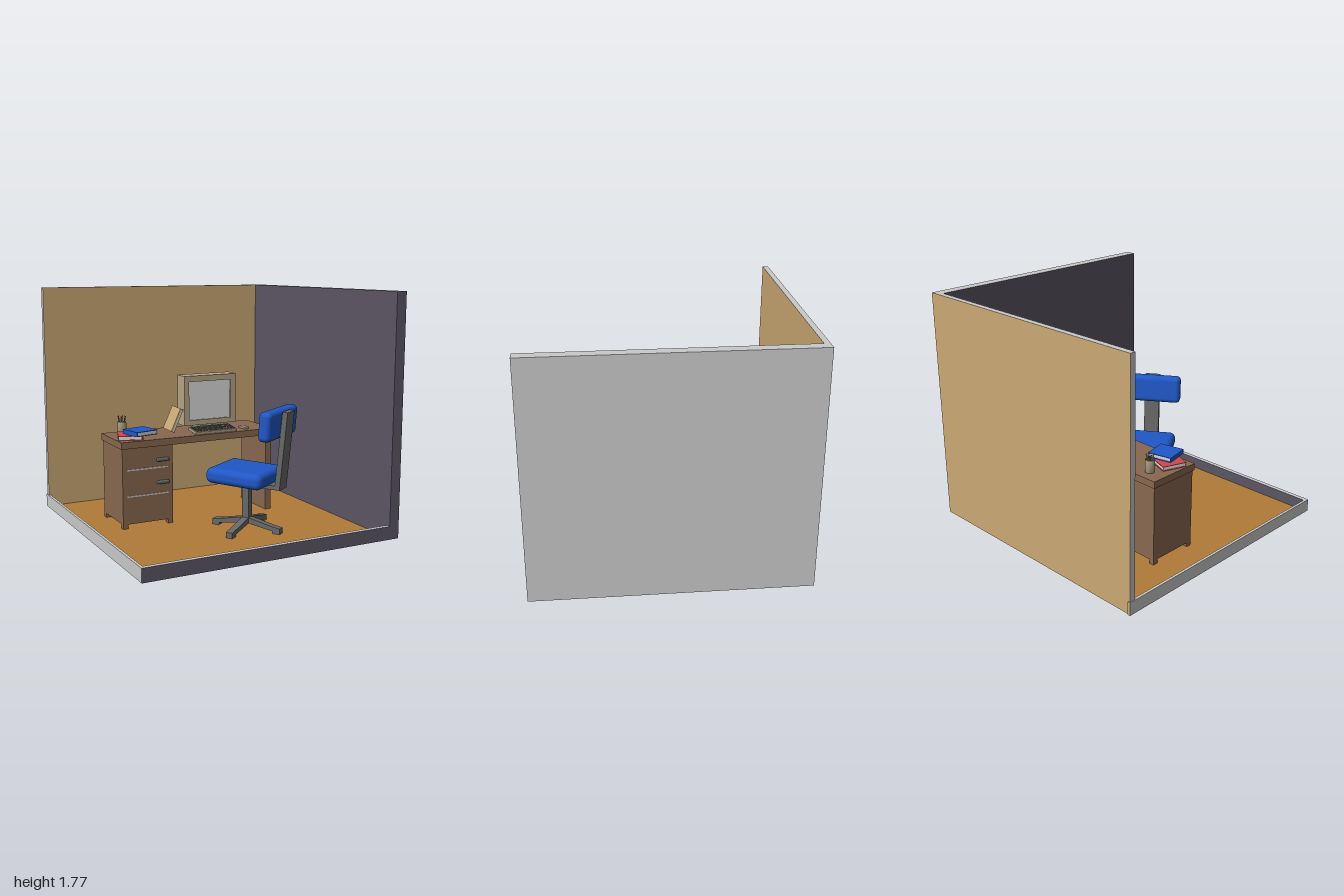
import * as THREE from 'three';
import { RoundedBoxGeometry } from 'three/addons/geometries/RoundedBoxGeometry.js';

const mat = (name, color) => {
  const m = new THREE.MeshStandardMaterial({ color });
  m.name = name;
  return m;
};

export function createModel() {
  const pale = mat('pale grey', 0xcacaca), tan = mat('tan', 0xcba974), dark = mat('dark slate', 0x5b5663);
  const floorC = mat('floor orange brown', 0xb27a38), wood = mat('desk brown', 0x886850);
  const blue = mat('blue', 0x2058c8), grey = mat('chair grey', 0x686868), red = mat('red', 0xd04a4c);
  const cream = mat('cream', 0xb5a587), white = mat('white', 0xdadadc);

  const root = new THREE.Group();
  const group = (name, parent = root) => {
    const g = new THREE.Group();
    g.name = name;
    parent.add(g);
    return g;
  };
  const add = (parent, name, geo, material, x = 0, y = 0, z = 0) => {
    const m = new THREE.Mesh(geo, material);
    m.name = name;
    m.position.set(x, y, z);
    parent.add(m);
    return m;
  };
  // box given by its minimum and maximum on each axis
  const span = (parent, name, material, x0, x1, y0, y1, z0, z1) =>
    add(parent, name, new THREE.BoxGeometry(x1 - x0, y1 - y0, z1 - z0), material,
      (x0 + x1) / 2, (y0 + y1) / 2, (z0 + z1) / 2);
  const box = (parent, name, material, w, h, d, x, y, z) =>
    add(parent, name, new THREE.BoxGeometry(w, h, d), material, x, y, z);

  // Room: floor, two tall walls and two kerbs (face order +x -x +y -y +z -z)
  const room = group('room');
  span(room, 'floor', floorC, -0.997, 0.997, 0, 0.012, -0.99, 0.997);
  span(room, 'backWall', [pale, pale, pale, tan, tan, tan], -0.995, 0.92, 0.002, 1.77, -0.993, -0.95);
  span(room, 'rightWall', [pale, dark, pale, dark, dark, tan], 0.92, 1, 0.002, 1.77, -0.993, 1);
  span(room, 'leftKerb', [tan, pale, pale, tan, dark, tan], -1, -0.98, 0.002, 0.1, -1, 1);
  span(room, 'frontKerb', [pale, pale, pale, dark, dark, dark], -0.98, 0.92, 0.002, 0.1, 0.965, 1);

  // Desk with drawer cabinet on four feet and a panel leg
  const desk = group('desk');
  span(desk, 'deskTop', wood, -0.71, 0.57, 0.618, 0.67, -0.47, -0.055);
  span(desk, 'drawerCabinet', wood, -0.7, -0.295, 0.045, 0.618, -0.46, -0.065);
  for (const x of [-0.7, -0.335]) for (const z of [-0.46, -0.105])
    span(desk, 'cabinetFoot', wood, x, x + 0.04, 0.005, 0.045, z, z + 0.04);
  span(desk, 'panelLeg', wood, 0.515, 0.565, 0.005, 0.618, -0.46, -0.065);
  for (const y of [0.455, 0.255]) span(desk, 'drawerLine', pale, -0.665, -0.335, y - 0.005, y + 0.005, -0.066, -0.061);
  for (const y of [0.515, 0.342])
    add(desk, 'drawerHandle', new RoundedBoxGeometry(0.1, 0.028, 0.026, 2, 0.011), grey, -0.38, y, -0.054);

  // Computer: hollow bezel around the screen, casing, stand
  const computer = group('computer');
  const bezel = new THREE.Shape();
  bezel.moveTo(-0.13, 0.72).lineTo(0.315, 0.72).lineTo(0.315, 1.105).lineTo(-0.13, 1.105).closePath();
  const hole = new THREE.Path();
  hole.moveTo(-0.09, 0.76).lineTo(-0.09, 1.06).lineTo(0.27, 1.06).lineTo(0.27, 0.76).closePath();
  bezel.holes.push(hole);
  add(computer, 'monitorBezel', new THREE.ExtrudeGeometry(bezel, { depth: 0.02, bevelEnabled: false }), cream, 0, 0, -0.22);
  span(computer, 'monitorCasing', cream, -0.13, 0.315, 0.72, 1.105, -0.325, -0.22);
  span(computer, 'screen', white, -0.09, 0.27, 0.76, 1.06, -0.22, -0.213);
  span(computer, 'monitorStand', cream, -0.01, 0.2, 0.67, 0.72, -0.31, -0.225);

  // Keyboard sloping up to the rear, with rows of dark keys
  const keyboard = group('keyboard', computer);
  keyboard.position.set(0.077, 0.69, -0.132);
  keyboard.rotation.x = 0.12;
  box(keyboard, 'keyboardBase', cream, 0.35, 0.022, 0.132, 0, 0, 0);
  for (let r = 0; r < 5; r++) for (let c = 0; c < 13; c++) {
    if (r === 4 && c > 3 && c < 9) continue;
    if (c === 10 && r % 2) continue;
    box(keyboard, 'key', grey, 0.017, 0.008, 0.016, -0.156 + c * 0.026, 0.014, -0.05 + r * 0.025);
  }
  box(keyboard, 'spaceBar', grey, 0.12, 0.008, 0.016, 0, 0.014, 0.05);
  add(computer, 'mouse', new RoundedBoxGeometry(0.05, 0.018, 0.09, 2, 0.006), cream, 0.365, 0.679, -0.153);

  // Leaning picture frame
  const frame = group('pictureFrame');
  frame.position.set(-0.186, 0.768, -0.29);
  frame.rotation.set(0, -0.06, -0.42);
  box(frame, 'frameBack', tan, 0.012, 0.19, 0.175, -0.007, 0, 0);
  box(frame, 'frameFront', pale, 0.014, 0.19, 0.175, 0.006, 0, 0);
  box(frame, 'photo', white, 0.004, 0.14, 0.125, 0.014, 0, 0);

  // Books: two covers, a spine and pages
  const book = (name, cover, x, y, z, turn, h, spineSide) => {
    const g = group(name);
    g.position.set(x, y, z);
    g.rotation.y = turn;
    for (const s of [-1, 1]) box(g, 'cover', cover, 0.185, 0.005, 0.185, 0, s * (h / 2 - 0.0025), 0);
    box(g, 'spine', cover, 0.005, h - 0.01, 0.185, spineSide * 0.09, 0, 0);
    box(g, 'pages', white, 0.172, h - 0.01, 0.176, -spineSide * 0.002, 0, 0);
  };
  book('redBook', red, -0.585, 0.687, -0.19, -0.34, 0.033, 1);
  book('blueBook', blue, -0.52, 0.721, -0.15, 0.22, 0.034, -1);

  // Pencil cup
  const cup = group('pencilCup');
  cup.position.set(-0.578, 0.67, -0.375);
  const profile = [[0, 0.001], [0.034, 0.001], [0.034, 0.095], [0.028, 0.095], [0.028, 0.01], [0, 0.01]];
  add(cup, 'cup', new THREE.LatheGeometry(profile.map(p => new THREE.Vector2(...p)), 12), cream);
  for (let i = 0; i < 4; i++) {
    const a = i * 1.6 + 0.5;
    const pen = add(cup, 'pencil', new THREE.CylinderGeometry(0.005, 0.005, 0.125, 6), i % 2 ? tan : grey,
      Math.cos(a) * 0.016, 0.078, Math.sin(a) * 0.016);
    pen.rotation.set(Math.sin(a) * 0.18, 0, -Math.cos(a) * 0.18);
  }

  // Swivel chair, its back toward local +z
  const chair = group('chair');
  chair.position.set(0.128, 0, 0.325);
  chair.rotation.y = 0.585;
  add(chair, 'seat', new RoundedBoxGeometry(0.43, 0.115, 0.45, 4, 0.045), blue, 0, 0.428, -0.015).rotation.x = 0.03;
  add(chair, 'backrest', new RoundedBoxGeometry(0.48, 0.215, 0.095, 4, 0.035), blue, 0, 0.833, 0.245).rotation.x = 0.08;
  box(chair, 'backBar', grey, 0.12, 0.575, 0.04, 0, 0.637, 0.298).rotation.x = 0.1;
  box(chair, 'seatSupport', grey, 0.12, 0.03, 0.29, 0, 0.366, 0.125);
  box(chair, 'column', grey, 0.055, 0.31, 0.055, 0, 0.225, 0);
  // Four legs sloping down from the column
  const side = new THREE.Shape();
  side.moveTo(0, 0.065).lineTo(0.22, 0.03).lineTo(0.225, 0.013).lineTo(0.28, 0.013)
    .lineTo(0.28, 0.055).lineTo(0.2, 0.068).lineTo(0, 0.11).closePath();
  const legGeo = new THREE.ExtrudeGeometry(side, { depth: 0.052, bevelEnabled: false }).translate(0, 0, -0.026);
  for (let i = 0; i < 4; i++) add(chair, 'chairLeg', legGeo, grey).rotation.y = i * Math.PI / 2;

  return root;
}
